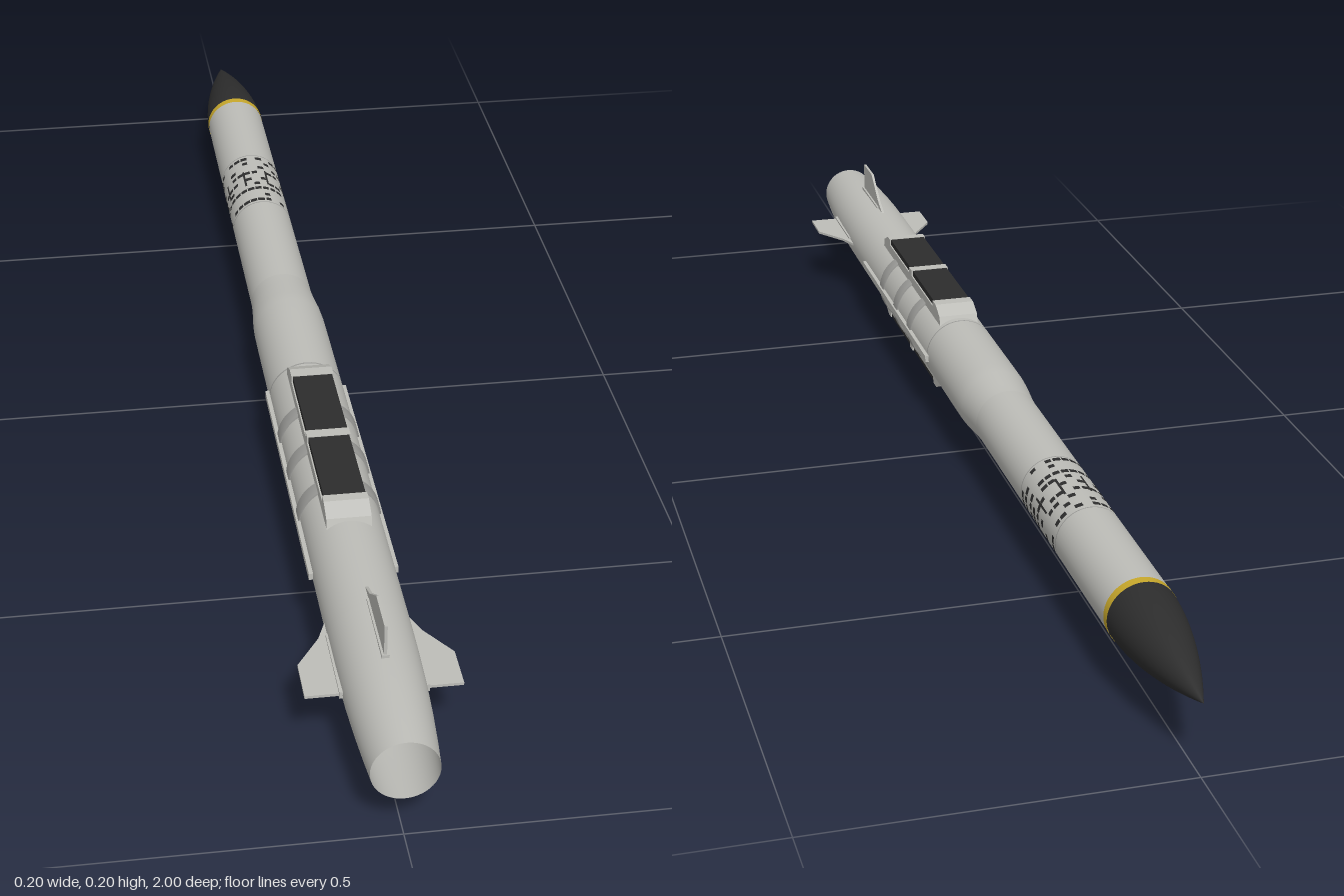
import * as THREE from 'three';

const AXIS_Y = 0.102;

export function createModel() {
  const paint = (name, color, double) => {
    const m = new THREE.MeshStandardMaterial({ color });
    m.name = name;
    if (double) m.side = THREE.DoubleSide;
    return m;
  };
  const bodyGrey = paint('body grey', 0xbdbdb8, true);
  const trimGrey = paint('trim grey', 0x9c9c99, true);
  const black = paint('black', 0x2d2d2d, true);
  const yellow = paint('yellow', 0xc9a92c, true);

  const model = new THREE.Group();
  model.name = 'finnedTube';
  const add = (parent, name, geometry, material) => {
    const mesh = new THREE.Mesh(geometry, material);
    mesh.name = name;
    parent.add(mesh);
    return mesh;
  };

  // Surface of revolution along z; points are [radius, z] from tail to nose
  const turned = (name, points, material) => {
    const g = new THREE.LatheGeometry(points.map(([r, z]) => new THREE.Vector2(r, -z)), 48);
    g.rotateX(-Math.PI / 2);
    return add(model, name, g, material);
  };

  // Box with sides given as [min, max] ranges
  const block = (parent, name, [x0, x1], [y0, y1], [z0, z1], material) => {
    const g = new THREE.BoxGeometry(x1 - x0, y1 - y0, z1 - z0);
    g.translate((x0 + x1) / 2, (y0 + y1) / 2, (z0 + z1) / 2);
    return add(parent, name, g, material);
  };

  // Extrudes a side profile of [z, y] points across x
  const sideProfile = (parent, name, points, width, material) => {
    const shape = new THREE.Shape(points.map(([z, y]) => new THREE.Vector2(-z, y)));
    const g = new THREE.ExtrudeGeometry(shape, { depth: width, bevelEnabled: false });
    g.translate(0, 0, -width / 2);
    g.rotateY(Math.PI / 2);
    return add(parent, name, g, material);
  };

  // Hollow hull, open at the tail
  turned('tailCone', [[0.044, 1], [0.0475, 0.96], [0.051, 0.91], [0.0535, 0.86], [0.055, 0.8], [0.0555, 0.74]], bodyGrey);
  turned('rearBody', [[0.0555, 0.74], [0.0555, 0.01], [0.0553, -0.04], [0.054, -0.065], [0.05, -0.105], [0.0485, -0.13]], bodyGrey);
  turned('forwardBody', [[0.0485, -0.13], [0.048, -0.76]], bodyGrey);
  turned('yellowBand', [[0.0485, -0.758], [0.0485, -0.772]], yellow);

  // Pointed nose
  const nose = [];
  for (let i = 0; i <= 16; i++) {
    const t = i / 16;
    nose.push([0.048 * (1 - Math.pow(t, 1.7)), -0.77 - 0.23 * t]);
  }
  turned('noseCone', nose, black);

  // Seams and straps round the hull
  for (const z of [-0.375, -0.545]) turned('seam', [[0.0484, z + 0.001], [0.0484, z - 0.001]], trimGrey);
  turned('rearSeam', [[0.0558, 0.152], [0.0558, 0.149]], trimGrey);
  for (const z of [0.465, 0.365, 0.27]) {
    const h = 0.012;
    turned('strap', [[0.0555, z + h], [0.0585, z + h], [0.0585, z - h], [0.0555, z - h]], trimGrey);
  }

  // Long housings above and below, each with two dark panels
  for (const side of [1, -1]) {
    const housing = new THREE.Group();
    housing.name = side > 0 ? 'upperHousing' : 'lowerHousing';
    housing.rotation.z = side > 0 ? 0 : Math.PI;
    model.add(housing);
    block(housing, 'housingBase', [-0.031, 0.031], [0.044, 0.062], [0.18, 0.54], bodyGrey);
    sideProfile(housing, 'rearRamp', [[0.56, 0.046], [0.555, 0.06], [0.53, 0.0715], [0.515, 0.0715], [0.515, 0.046]], 0.062, bodyGrey);
    sideProfile(housing, 'frontRamp', [[0.16, 0.046], [0.165, 0.06], [0.19, 0.0715], [0.21, 0.0715], [0.21, 0.046]], 0.062, bodyGrey);
    block(housing, 'housingDivider', [-0.031, 0.031], [0.06, 0.0715], [0.354, 0.372], bodyGrey);
    for (const range of [[0.21, 0.354], [0.372, 0.515]]) {
      block(housing, 'darkPanel', [-0.029, 0.029], [0.061, 0.071], range, black);
    }

    // Slim conduit along the flank
    const xs = side > 0 ? [0.053, 0.061] : [-0.061, -0.053];
    block(model, 'sideConduit', xs, [-0.005, 0.005], [0.14, 0.6], bodyGrey);
  }

  // Four tail fins with root fairings
  for (let i = 0; i < 4; i++) {
    const fin = new THREE.Group();
    fin.name = 'tailFin';
    fin.rotation.z = i * Math.PI / 2;
    model.add(fin);
    sideProfile(fin, 'finBlade', [[0.848, 0.048], [0.848, 0.102], [0.785, 0.102], [0.735, 0.068], [0.7, 0.054], [0.7, 0.048]], 0.004, bodyGrey);
    block(fin, 'finRoot', [-0.005, 0.005], [0.048, 0.058], [0.73, 0.85], bodyGrey);
  }

  // Thin curved mark; angle runs round the hull from the top
  const mark = (name, r, z, angle, length, arc) => {
    const g = new THREE.CylinderGeometry(r, r, length, 3, 1, true, angle - arc / 2, arc);
    g.rotateX(-Math.PI / 2);
    g.translate(0, 0, z);
    add(model, name, g, black);
  };

  // Band of small black dashes
  let seed = 7;
  const rnd = () => (seed = (seed * 16807) % 2147483647) / 2147483647;
  const rows = [-0.385, -0.402, -0.425, -0.442, -0.46, -0.482, -0.5, -0.517, -0.533];
  rows.forEach((z, row) => {
    for (let k = 0; k < 24; k++) {
      const keep = rnd() < (row % 2 ? 0.4 : 0.72);
      if (keep) mark('dash', 0.0488, z, (k * Math.PI) / 12, 0.009, 0.16 + 0.08 * rnd());
    }
  });
  for (let k = 0; k < 8; k++) mark('longDash', 0.0488, -0.465, (k + 0.5) * Math.PI / 4, 0.05, 0.07);

  // Isolated small marks on the right-hand upper flank
  for (const [z, r] of [[0.655, 0.056], [0.06, 0.056], [0, 0.056], [-0.63, 0.0487], [-0.67, 0.0487]]) {
    mark('dot', r, z, Math.PI / 2 + 0.55, 0.01, 0.13);
  }

  model.children.forEach((c) => { c.position.y += AXIS_Y; });
  return model;
}
